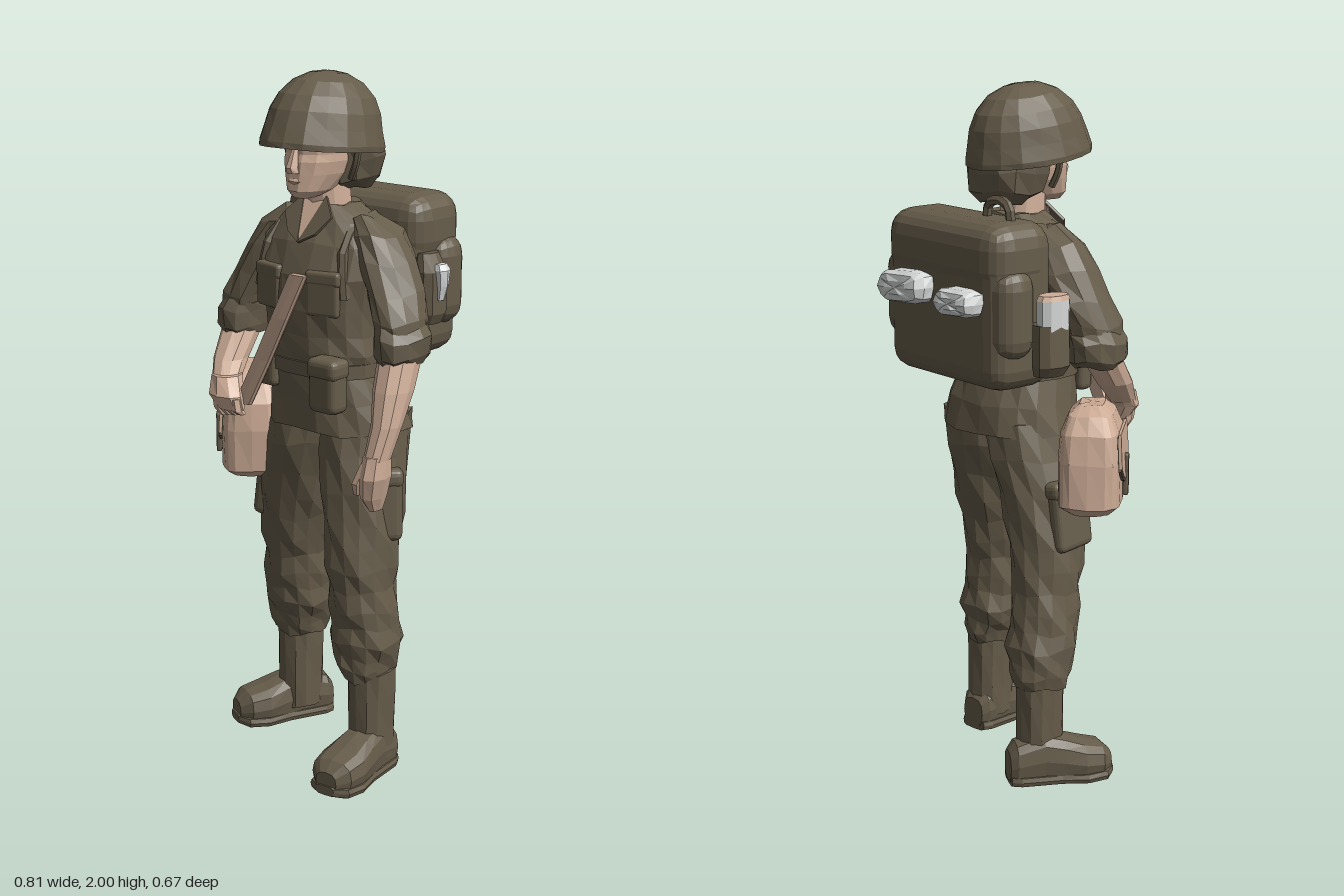
import * as THREE from 'three';
import { RoundedBoxGeometry } from 'three/addons/geometries/RoundedBoxGeometry.js';

const paint = (name, color) => {
  const m = new THREE.MeshStandardMaterial({ color });
  m.name = name;
  return m;
};

export function createModel() {
  const olive = paint('olive cloth', 0x665c4a);
  const skin = paint('skin', 0xcfae98);
  const canvas = paint('tan canvas', 0xcdac96);
  const white = paint('white cloth', 0xd6d8d8);
  const root = new THREE.Group();
  root.name = 'fieldMedic';

  // Faceted mesh: every triangle keeps its own normal
  function add(name, mat, geo, parent = root) {
    const g = geo.index ? geo.toNonIndexed() : geo;
    g.computeVertexNormals();
    const mesh = new THREE.Mesh(g, mat);
    mesh.name = name;
    parent.add(mesh);
    return mesh;
  }

  // Stack of level rings, bottom to top: [centre x, y, centre z, radius x, radius z]
  function loft(name, mat, rings, { n = 12, p = 0.9, fold = 0, parent = root } = {}) {
    const pos = [], idx = [], pw = v => Math.sign(v) * Math.abs(v) ** p;
    rings.forEach(([x, y, z, rx, rz], k) => {
      for (let i = 0; i < n; i++) {
        const a = i / n * Math.PI * 2, f = 1 + fold * Math.sin(i * 2.3 + k * 4.1);
        pos.push(x + pw(Math.cos(a)) * rx * f, y + fold * 0.2 * Math.sin(i * 1.7 + k), z + pw(Math.sin(a)) * rz * f);
      }
    });
    const last = rings.length - 1, c = pos.length / 3;
    pos.push(...rings[0].slice(0, 3), ...rings[last].slice(0, 3));
    for (let i = 0; i < n; i++) {
      const j = (i + 1) % n;
      for (let k = 0; k < last; k++) {
        const a = k * n + i, b = k * n + j;
        idx.push(a, a + n, b + n, a, b + n, b);
      }
      idx.push(c, i, j, c + 1, last * n + j, last * n + i);
    }
    const g = new THREE.BufferGeometry();
    g.setAttribute('position', new THREE.Float32BufferAttribute(pos, 3));
    g.setIndex(idx);
    return add(name, mat, g, parent);
  }

  function box(name, mat, [w, h, d], [x, y, z], r = 0.02, parent = root) {
    const m = add(name, mat, new RoundedBoxGeometry(w, h, d, 2, r), parent);
    m.position.set(x, y, z);
    return m;
  }

  function tube(name, mat, pts, r) {
    const curve = new THREE.CatmullRomCurve3(pts.map(q => new THREE.Vector3(...q)));
    return add(name, mat, new THREE.TubeGeometry(curve, 10, r, 6));
  }

  function plate(name, mat, pts, pos, tilt, parent = root) {
    const s = new THREE.Shape(pts.map(q => new THREE.Vector2(...q)));
    const m = add(name, mat, new THREE.ExtrudeGeometry(s, { depth: 0.008, bevelEnabled: false }), parent);
    m.position.set(...pos);
    m.rotation.x = tilt;
    return m;
  }
  const mirror = rings => rings.map(([x, ...r]) => [0.08 - x, ...r]);

  // Head, face and hair
  loft('neck', skin, [[0.04, 1.57, 0.055, 0.068, 0.065], [0.04, 1.72, 0.065, 0.058, 0.065]]);
  loft('head', skin, [[0.04, 1.665, 0.155, 0.03, 0.035], [0.04, 1.685, 0.125, 0.055, 0.08], [0.04, 1.73, 0.09, 0.078, 0.112],
    [0.04, 1.765, 0.08, 0.088, 0.12], [0.04, 1.785, 0.08, 0.088, 0.112], [0.04, 1.86, 0.07, 0.098, 0.13]], { n: 14 });
  loft('nose', skin, [[0.04, 1.735, 0.202, 0.019, 0.018], [0.04, 1.75, 0.203, 0.016, 0.024], [0.04, 1.8, 0.192, 0.008, 0.012]], { n: 6 });
  loft('lips', skin, [[0.04, 1.704, 0.19, 0.022, 0.012], [0.04, 1.712, 0.195, 0.024, 0.012], [0.04, 1.719, 0.192, 0.018, 0.01]], { n: 8 });
  for (const s of [-1, 1])
    tube('chinStrap', olive, [[0.04 + s * 0.132, 1.81, 0.085], [0.04 + s * 0.122, 1.76, 0.085], [0.04 + s * 0.1, 1.715, 0.08]], 0.01);
  loft('hair', olive, [[0.04, 1.675, -0.01, 0.075, 0.06], [0.04, 1.705, 0, 0.108, 0.092], [0.04, 1.76, 0.004, 0.12, 0.1],
    [0.04, 1.85, 0.025, 0.122, 0.105]], { p: 0.8, fold: 0.04 });

  // Helmet, tipped slightly back
  const helmet = loft('helmet', olive, [[0, 0.012, 0, 0.14, 0.175], [0, -0.012, 0, 0.156, 0.195], [0, 0.004, 0, 0.157, 0.195],
    [0, 0.045, -0.001, 0.147, 0.184], [0, 0.09, -0.003, 0.138, 0.172], [0, 0.132, -0.005, 0.12, 0.15],
    [0, 0.17, -0.006, 0.088, 0.11], [0, 0.193, -0.006, 0.045, 0.058], [0, 0.199, -0.006, 0.012, 0.015]], { n: 18, p: 1, fold: 0.004 });
  helmet.position.set(0.035, 1.801, 0.078);
  helmet.rotation.x = -0.11;

  // Jacket, belt, collar and pockets
  loft('jacket', olive, [[0.07, 1.015, 0.037, 0.212, 0.165], [0.065, 1.1, 0.042, 0.192, 0.157], [0.06, 1.18, 0.06, 0.172, 0.143],
    [0.06, 1.24, 0.065, 0.18, 0.147], [0.055, 1.29, 0.07, 0.178, 0.14], [0.05, 1.36, 0.073, 0.186, 0.142], [0.045, 1.45, 0.073, 0.2, 0.138],
    [0.04, 1.54, 0.055, 0.2, 0.12], [0.04, 1.6, 0.045, 0.15, 0.09], [0.04, 1.64, 0.04, 0.078, 0.072]], { n: 18, p: 0.82, fold: 0.02 });
  loft('belt', olive, [[0.06, 1.175, 0.06, 0.18, 0.152], [0.06, 1.215, 0.062, 0.18, 0.152]], { n: 18, p: 0.82 });
  plate('openNeck', skin, [[-0.05, 0], [0, -0.12], [0.05, 0]], [0.04, 1.648, 0.113], -0.56);
  for (const s of [-1, 1]) {
    const lapel = [[s * 0.04, 0.02], [0, -0.125], [s * 0.05, -0.095], [s * 0.085, -0.04]];
    plate('collar', olive, s < 0 ? lapel : lapel.reverse(), [0.04, 1.645, 0.117], -0.56);
    const x = 0.04 + s * 0.098;
    box('chestPocket', olive, [0.1, 0.11, 0.03], [x, 1.405, 0.191], 0.01).rotation.y = s * 0.2;
    box('pocketFlap', olive, [0.106, 0.04, 0.036], [x, 1.455, 0.189], 0.01).rotation.y = s * 0.2;
    tube('packStrap', olive, [[0.04 + s * 0.15, 1.32, -0.06], [0.04 + s * 0.13, 1.55, -0.05], [0.04 + s * 0.12, 1.605, 0.04],
      [0.04 + s * 0.135, 1.53, 0.15], [0.04 + s * 0.155, 1.4, 0.17]], 0.016);
  }
  box('beltPouch', olive, [0.1, 0.15, 0.07], [0.175, 1.165, 0.215], 0.022);
  box('beltPouchFlap', olive, [0.106, 0.06, 0.078], [0.175, 1.215, 0.215], 0.02);
  box('smallPouch', olive, [0.07, 0.1, 0.05], [-0.07, 1.17, 0.18], 0.018);

  // Sleeves with rolled cuffs
  const sleeve = [[0.332, 1.29, 0.088, 0.058, 0.08], [0.32, 1.35, 0.082, 0.066, 0.088], [0.288, 1.42, 0.064, 0.07, 0.092],
    [0.245, 1.5, 0.05, 0.074, 0.094], [0.205, 1.57, 0.045, 0.07, 0.082], [0.16, 1.615, 0.045, 0.035, 0.045]];
  const cuff = [[0.33, 1.235, 0.092, 0.056, 0.074], [0.333, 1.255, 0.09, 0.068, 0.09], [0.333, 1.305, 0.088, 0.071, 0.094],
    [0.322, 1.335, 0.082, 0.064, 0.086]];
  for (const side of [r => r, mirror]) {
    loft('sleeve', olive, side(sleeve), { p: 1, fold: 0.04 });
    loft('rolledCuff', olive, side(cuff), { p: 1, fold: 0.035 });
  }

  // Left arm hangs down, right hand rests on the satchel
  loft('leftForearm', skin, [[0.347, 0.99, 0.21, 0.034, 0.04], [0.355, 1.08, 0.18, 0.04, 0.045], [0.345, 1.17, 0.14, 0.052, 0.06],
    [0.335, 1.26, 0.1, 0.055, 0.065]], { n: 10 });
  loft('leftHand', skin, [[0.335, 0.84, 0.2, 0.012, 0.025], [0.335, 0.88, 0.21, 0.028, 0.045], [0.345, 0.94, 0.215, 0.036, 0.052],
    [0.347, 1.0, 0.21, 0.033, 0.042]], { n: 8 });
  loft('leftThumb', skin, [[0.3, 0.885, 0.235, 0.01, 0.012], [0.308, 0.92, 0.245, 0.016, 0.018], [0.33, 0.98, 0.23, 0.018, 0.02]], { n: 6 });
  loft('rightForearm', skin, [[-0.2, 1.1, 0.235, 0.036, 0.037], [-0.235, 1.17, 0.17, 0.045, 0.055], [-0.25, 1.26, 0.1, 0.055, 0.06]], { n: 10 });
  loft('rightHand', skin, [[-0.165, 1.045, 0.243, 0.045, 0.028], [-0.18, 1.085, 0.25, 0.056, 0.038], [-0.203, 1.135, 0.22, 0.042, 0.045]], { n: 8 });
  for (let i = 0; i < 4; i++) {
    const x = -0.2 + i * 0.024;
    loft('rightFinger', skin, [[x, 1.02 + i * 0.004, 0.238, 0.01, 0.012], [x - 0.004, 1.045, 0.252, 0.013, 0.018], [x - 0.008, 1.08, 0.255, 0.013, 0.018]], { n: 6 });
  }

  // Trousers, bloused over the boots
  loft('leftTrouserLeg', olive, [[0.225, 0.295, 0.1, 0.07, 0.08], [0.225, 0.33, 0.1, 0.077, 0.093], [0.22, 0.365, 0.1, 0.09, 0.09],
    [0.22, 0.41, 0.1, 0.102, 0.102], [0.22, 0.46, 0.105, 0.094, 0.092], [0.217, 0.51, 0.11, 0.094, 0.1], [0.213, 0.57, 0.112, 0.088, 0.096],
    [0.208, 0.63, 0.108, 0.096, 0.108], [0.205, 0.7, 0.1, 0.096, 0.113], [0.195, 0.77, 0.085, 0.102, 0.122],
    [0.185, 0.85, 0.072, 0.106, 0.13], [0.165, 0.95, 0.047, 0.114, 0.14], [0.16, 1.05, 0.035, 0.115, 0.135]], { n: 14, fold: 0.04 });
  loft('rightTrouserLeg', olive, [[-0.163, 0.295, -0.047, 0.078, 0.075], [-0.163, 0.33, -0.045, 0.085, 0.088], [-0.158, 0.365, -0.04, 0.09, 0.09],
    [-0.15, 0.41, -0.03, 0.1, 0.102], [-0.147, 0.46, -0.018, 0.094, 0.095], [-0.142, 0.51, -0.008, 0.094, 0.1], [-0.136, 0.57, 0, 0.088, 0.097],
    [-0.127, 0.63, 0.012, 0.096, 0.106], [-0.115, 0.7, 0.02, 0.1, 0.11], [-0.1, 0.77, 0.027, 0.108, 0.118],
    [-0.08, 0.85, 0.033, 0.115, 0.125], [-0.045, 0.95, 0.037, 0.115, 0.14], [-0.02, 1.05, 0.035, 0.115, 0.135]], { n: 14, fold: 0.04 });
  for (const [x, y, z, turn, lean] of [[0.255, 0.81, 0.105, 0.75, 0.06], [-0.182, 0.79, 0.045, -0.2, -0.12]]) {
    const pocket = new THREE.Group();
    pocket.name = 'cargoPocket';
    pocket.position.set(x, y, z);
    pocket.rotation.set(0, -turn, lean);
    root.add(pocket);
    box('pocketBag', olive, [0.055, 0.2, 0.15], [0, 0, 0], 0.02, pocket);
    box('pocketLid', olive, [0.062, 0.055, 0.157], [0, 0.08, 0], 0.02, pocket);
  }

  // Boots: shaft plus a foot lofted from heel to toe
  for (const [name, x, z, sx, sz, turn] of [['leftBoot', 0.235, 0.025, 0.24, 0.1, 0.1], ['rightBoot', -0.14, -0.147, -0.168, -0.05, -0.45]]) {
    const boot = new THREE.Group();
    boot.name = name;
    root.add(boot);
    loft('bootShaft', olive, [[sx, 0.05, sz, 0.06, 0.07], [sx, 0.14, sz, 0.061, 0.07], [sx, 0.24, sz, 0.064, 0.07], [sx, 0.32, sz, 0.066, 0.072]], { fold: 0.02, parent: boot });
    const foot = new THREE.Group();
    foot.name = 'bootFoot';
    foot.position.set(x, 0, z);
    foot.rotation.y = turn;
    boot.add(foot);
    loft('bootUpper', olive, [[0, 0, -0.055, 0.04, 0.046], [0, 0.02, -0.065, 0.055, 0.063], [0, 0.1, -0.078, 0.06, 0.076], [0, 0.16, -0.07, 0.068, 0.069],
      [0, 0.22, -0.06, 0.077, 0.058], [0, 0.275, -0.055, 0.068, 0.05], [0, 0.305, -0.045, 0.035, 0.032]], { p: 0.75, parent: foot }).rotation.x = Math.PI / 2;
    loft('bootSole', olive, [[0, 0.002, -0.018, 0.045, 0.018], [0, 0.03, -0.018, 0.058, 0.018], [0, 0.15, -0.018, 0.064, 0.018], [0, 0.225, -0.018, 0.08, 0.018],
      [0, 0.285, -0.02, 0.068, 0.018], [0, 0.31, -0.024, 0.03, 0.014]], { p: 0.5, parent: foot }).rotation.x = Math.PI / 2;
  }

  // Backpack with lid, side pockets, handle and bandage rolls
  box('packBody', olive, [0.5, 0.45, 0.215], [0.01, 1.42, -0.16], 0.06);
  box('packLid', olive, [0.51, 0.2, 0.222], [0.013, 1.557, -0.162], 0.07);
  box('packSideBulge', olive, [0.56, 0.26, 0.13], [0.015, 1.41, -0.195], 0.06);
  tube('packHandle', olive, [[-0.165, 1.64, -0.155], [-0.155, 1.69, -0.155], [-0.11, 1.705, -0.15], [-0.065, 1.69, -0.15], [-0.055, 1.64, -0.15]], 0.014);
  // Bandages taper away from the pack
  for (const [name, x, y, w, h, tilt] of [['largeBandage', 0.13, 1.45, 0.1, 0.046, 0.08], ['smallBandage', -0.107, 1.44, 0.08, 0.038, 0.05]]) {
    const roll = loft(name, white, [[0, 0, 0, w, h], [0, 0.03, 0, w, h], [0, 0.052, 0, w * 0.85, h * 0.8], [0, 0.06, 0, w * 0.5, h * 0.4]], { n: 14, p: 0.5, fold: 0.02 });
    roll.position.set(x, y, -0.272);
    roll.rotation.set(-Math.PI / 2, tilt, 0);
  }
  loft('rightPackPouch', olive, [[-0.27, 1.24, -0.11, 0.035, 0.045], [-0.28, 1.27, -0.11, 0.046, 0.057], [-0.28, 1.385, -0.11, 0.042, 0.056]], { n: 10 });
  loft('bottle', white, [[-0.288, 1.37, -0.11, 0.034, 0.05], [-0.288, 1.452, -0.11, 0.035, 0.052]], { n: 10 });
  loft('bottleCap', skin, [[-0.288, 1.452, -0.11, 0.035, 0.053], [-0.288, 1.466, -0.11, 0.03, 0.045]], { n: 10 });
  loft('leftPackPouch', olive, [[0.265, 1.3, -0.11, 0.03, 0.04], [0.27, 1.33, -0.11, 0.04, 0.05], [0.27, 1.45, -0.11, 0.04, 0.05], [0.26, 1.5, -0.11, 0.025, 0.035]], { n: 10 });
  loft('sideBandage', white, [[0.305, 1.37, -0.11, 0.012, 0.015], [0.308, 1.41, -0.112, 0.02, 0.02], [0.31, 1.455, -0.112, 0.02, 0.027], [0.305, 1.472, -0.112, 0.012, 0.02]], { n: 6 });

  // Satchel on the right hip, turned outward, with its strap across the chest
  const satchel = new THREE.Group();
  satchel.name = 'satchel';
  satchel.position.set(-0.255, 0.975, 0.082);
  satchel.rotation.set(0, -0.82, -0.06);
  root.add(satchel);
  loft('satchelBody', canvas, [[0, -0.148, -0.01, 0.125, 0.06], [0, -0.125, -0.012, 0.152, 0.088], [0, 0, -0.012, 0.154, 0.09],
    [0, 0.08, -0.012, 0.145, 0.084], [0, 0.13, -0.012, 0.115, 0.064], [0, 0.155, -0.012, 0.07, 0.035]], { n: 20, p: 0.5, fold: 0.01, parent: satchel });
  const flap = [];
  for (let i = 0; i <= 10; i++) flap.push([-0.13 + i * 0.026, -0.01 - 0.05 * Math.sin(i / 10 * Math.PI)]);
  plate('flapEdge', olive, [...flap.map(([x, y]) => [x, y - 0.008]), [0.12, 0.075], [-0.12, 0.075]], [0, 0, 0.072], -0.06, satchel);
  plate('satchelFlap', canvas, [...flap, [0.12, 0.085], [-0.12, 0.085]], [0, 0, 0.075], -0.06, satchel);
  box('satchelBuckleStrap', olive, [0.035, 0.12, 0.016], [0, -0.05, 0.085], 0.006, satchel);
  loft('shoulderStrap', canvas, [[-0.14, 1.06, 0.22, 0.03, 0.01], [-0.065, 1.2, 0.218, 0.031, 0.01], [0.005, 1.33, 0.222, 0.031, 0.01],
    [0.07, 1.46, 0.218, 0.031, 0.01]], { n: 8, p: 0.4 });
  return root;
}
